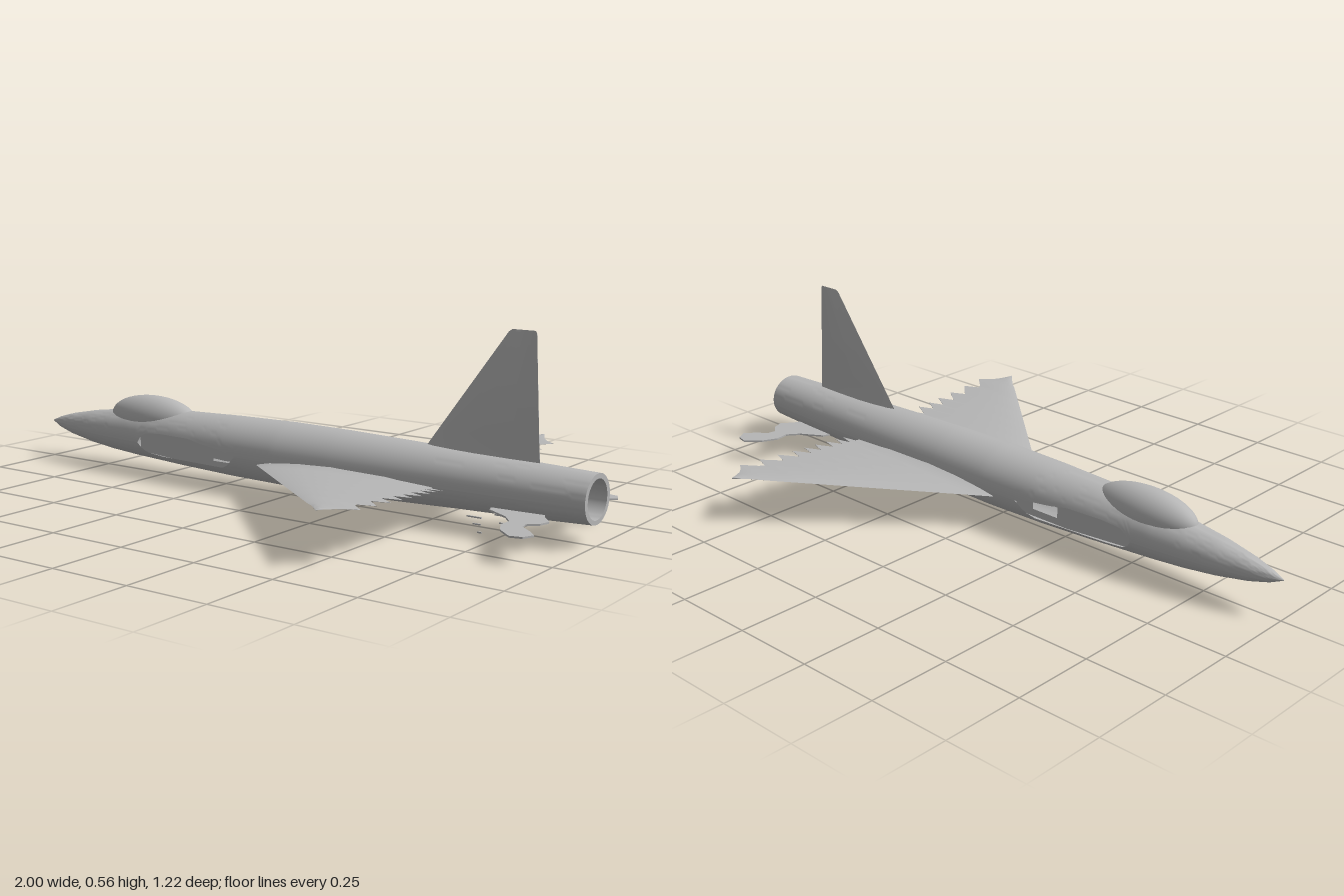
import * as THREE from 'three';
import { mergeVertices, toCreasedNormals } from 'three/addons/utils/BufferGeometryUtils.js';

const grey = new THREE.MeshStandardMaterial({ color: 0xb6b6b6, side: THREE.DoubleSide });
grey.name = 'airframe grey';

// Linear lookup in a table of [key, v1, v2, ...] rows
function lookup(table, k, c = 1) {
  if (k <= table[0][0]) return table[0][c];
  for (let i = 1; i < table.length; i++) {
    const a = table[i - 1], b = table[i];
    if (k <= b[0]) return a[c] + (b[c] - a[c]) * (k - a[0]) / (b[0] - a[0]);
  }
  return table[table.length - 1][c];
}

// Skin between rows of points; all rows have the same length
function loft(rows, closed = false, crease = 0.7) {
  const n = rows[0].length, index = [];
  for (let i = 0; i < rows.length - 1; i++) {
    for (let j = 0; j < (closed ? n : n - 1); j++) {
      const k = (j + 1) % n, a = i * n, b = a + n;
      index.push(a + j, a + k, b + j, a + k, b + k, b + j);
    }
  }
  const g = new THREE.BufferGeometry();
  g.setAttribute('position', new THREE.Float32BufferAttribute(rows.flat(2), 3));
  g.setIndex(index);
  return toCreasedNormals(mergeVertices(g, 1e-5), crease);
}

function add(group, name, geometry) {
  const mesh = new THREE.Mesh(geometry, grey);
  mesh.name = name;
  group.add(mesh);
  return mesh;
}

// Fuselage stations: x, bottom, top, half width
const BODY = [
  [-1, 0.119, 0.121, 0.001], [-0.96, 0.101, 0.138, 0.017], [-0.9, 0.085, 0.155, 0.034],
  [-0.8, 0.068, 0.175, 0.053], [-0.7, 0.057, 0.189, 0.066], [-0.6, 0.05, 0.2, 0.076],
  [-0.4, 0.04, 0.213, 0.089], [-0.2, 0.033, 0.219, 0.1], [0, 0.03, 0.222, 0.105],
  [0.2, 0.033, 0.22, 0.102], [0.4, 0.038, 0.215, 0.097], [0.6, 0.045, 0.209, 0.091],
  [0.8, 0.05, 0.203, 0.084], [1, 0.058, 0.197, 0.075],
];
// Upper and lower edges of the side intake openings
const OPENING_TOP = [[-0.545, 0.108], [-0.535, 0.13], [-0.51, 0.142], [-0.45, 0.147],
  [-0.33, 0.147], [-0.27, 0.137], [-0.2, 0.13], [-0.14, 0.115]];
const OPENING_BOTTOM = [[-0.545, 0.108], [-0.535, 0.086], [-0.51, 0.076], [-0.45, 0.071],
  [-0.2, 0.071], [-0.17, 0.085], [-0.14, 0.115]];

// Half of the fuselage skin, above or below the openings
function shell(edge, upper) {
  const rows = [], steps = 160, arc = 28;
  for (let i = 0; i <= steps; i++) {
    const x = -1 + 2 * i / steps;
    const lo = lookup(BODY, x, 1), hi = lookup(BODY, x, 2), rz = lookup(BODY, x, 3);
    const cy = (lo + hi) / 2, ry = (hi - lo) / 2;
    const a = Math.asin(THREE.MathUtils.clamp((lookup(edge, x) - cy) / ry, -0.9, 0.9));
    const end = upper ? Math.PI - a : -Math.PI - a;
    const row = [];
    for (let j = 0; j <= arc; j++) {
      const t = a + (end - a) * j / arc;
      row.push([x, cy + ry * Math.sin(t), rz * Math.cos(t)]);
    }
    rows.push(upper ? row : row.reverse());
  }
  return loft(rows);
}

function ellipseRow(x, cy, ry, rz, n = 48) {
  return Array.from({ length: n }, (_, i) => {
    const t = i / n * Math.PI * 2;
    return [x, cy + ry * Math.sin(t), rz * Math.cos(t)];
  });
}

// Thin aerofoil loop; place(x, offset) maps it to space
const FOIL = [[0, 0], [0.08, 0.5], [0.25, 0.9], [0.45, 1], [0.75, 0.6], [1, 0.05]];
function foil(x0, x1, half, place) {
  const at = (f, h) => place(x0 + (x1 - x0) * f, half * h, f);
  return [...FOIL.map(([f, h]) => at(f, h)),
    ...FOIL.slice(1).reverse().map(([f, h]) => at(f, -h))];
}

// Swept wing with a serrated trailing edge: rows of z, trailing x
const TRAILING = [[0.07, 0.55], [0.105, 0.55], [0.115, 0.6], [0.13, 0.55], [0.145, 0.602],
  [0.16, 0.553], [0.185, 0.602], [0.2, 0.55], [0.23, 0.603], [0.248, 0.553], [0.275, 0.602],
  [0.29, 0.55], [0.322, 0.603], [0.34, 0.548], [0.38, 0.604], [0.4, 0.553], [0.45, 0.605],
  [0.47, 0.555], [0.485, 0.562], [0.524, 0.606], [0.545, 0.575], [0.565, 0.556],
  [0.59, 0.542], [0.612, 0.531]];
const LEADING = [[0.07, -0.07], [0.105, -0.05], [0.54, 0.45], [0.555, 0.468], [0.56, 0.478], [0.612, 0.529]];
const THICK = [[0.07, 0.034], [0.105, 0.021], [0.13, 0.015], [0.612, 0.002]];

function wing(s) {
  return loft(TRAILING.map(([z, xt]) => {
    const mid = 0.114 + (z - 0.1) * 0.072, droop = 0.014 * (1 - z / 0.612);
    return foil(lookup(LEADING, z), xt, lookup(THICK, z),
      (x, o, f) => [x, mid + o - droop * (1 - f), s * z]);
  }), true);
}

// Flat outline in x and z turned into a thin horizontal plate
function tailplane(s) {
  const pts = [[0.72, 0.06], [0.73, 0.09], [0.8, 0.13], [0.83, 0.165], [0.826, 0.205], [0.85, 0.25],
    [0.895, 0.288], [0.93, 0.28], [0.946, 0.25], [0.92, 0.222], [0.885, 0.195], [0.88, 0.17],
    [0.91, 0.145], [0.92, 0.115], [0.89, 0.08], [0.88, 0.06]];
  const g = new THREE.ExtrudeGeometry(new THREE.Shape(pts.map(p => new THREE.Vector2(...p))),
    { depth: 0.005, bevelEnabled: false });
  const p = g.attributes.position;
  for (let i = 0; i < p.count; i++) {
    const z = p.getY(i);
    p.setXYZ(i, p.getX(i), 0.076 - z * 0.025 + p.getZ(i), s * z);
  }
  // The axis swap turns the faces over on one side
  if (s > 0) for (let i = 0; i < p.count; i += 3) {
    const b = [p.getX(i + 1), p.getY(i + 1), p.getZ(i + 1)];
    p.setXYZ(i + 1, p.getX(i + 2), p.getY(i + 2), p.getZ(i + 2));
    p.setXYZ(i + 2, ...b);
  }
  g.computeVertexNormals();
  return g;
}

// Recessed wall of the intake with a through opening
function intakeWall() {
  const v = (x, y) => new THREE.Vector2(x, y);
  const shape = new THREE.Shape([v(-0.56, 0.075), v(-0.3, 0.058), v(-0.1, 0.058),
    v(-0.1, 0.165), v(-0.56, 0.165)]);
  shape.holes.push(new THREE.Path([v(-0.26, 0.08), v(-0.26, 0.114), v(-0.165, 0.114), v(-0.165, 0.08)]));
  return new THREE.ShapeGeometry(shape);
}

export function createModel() {
  const model = new THREE.Group();
  model.name = 'jetAircraft';

  add(model, 'fuselageUpper', shell(OPENING_TOP, true));
  add(model, 'fuselageLower', shell(OPENING_BOTTOM, false));

  // Rear rim, exhaust duct and its inner end
  add(model, 'exhaust', loft([
    ellipseRow(1, 0.1275, 0.0695, 0.075), ellipseRow(1, 0.1265, 0.056, 0.059),
    ellipseRow(0.45, 0.1265, 0.056, 0.059), ellipseRow(0.45, 0.1265, 0.0005, 0.0005),
  ], true));

  // Bubble canopy
  const canopy = add(model, 'canopy', new THREE.SphereGeometry(1, 40, 24));
  canopy.scale.set(0.172, 0.07, 0.064);
  canopy.position.set(-0.545, 0.179, 0);

  // Upright tail fin: y, leading x, trailing x, half thickness
  add(model, 'tailFin', loft([
    [0.17, 0.445, 0.832, 0.016], [0.215, 0.48, 0.829, 0.011], [0.26, 0.513, 0.826, 0.009],
    [0.55, 0.727, 0.811, 0.003], [0.557, 0.737, 0.807, 0.0005],
  ].map(([y, a, b, h]) => foil(a, b, h, (x, o) => [x, y, o])), true));

  // Paired parts
  for (const [s, side] of [[1, 'left'], [-1, 'right']]) {
    add(model, side + 'Wing', wing(s));
    add(model, side + 'Tailplane', tailplane(s));
    add(model, side + 'IntakeWall', intakeWall()).position.z = s * 0.05;
    // Small slivers below the rear body
    [[0.668, 0.043, 0.045], [0.676, 0.024, 0.025], [0.685, 0.002, 0.014]].forEach(([x, y, w]) => {
      add(model, side + 'VentralSliver', new THREE.BoxGeometry(w, 0.004, 0.004)).position.set(x, y, s * 0.062);
    });
  }
  return model;
}
